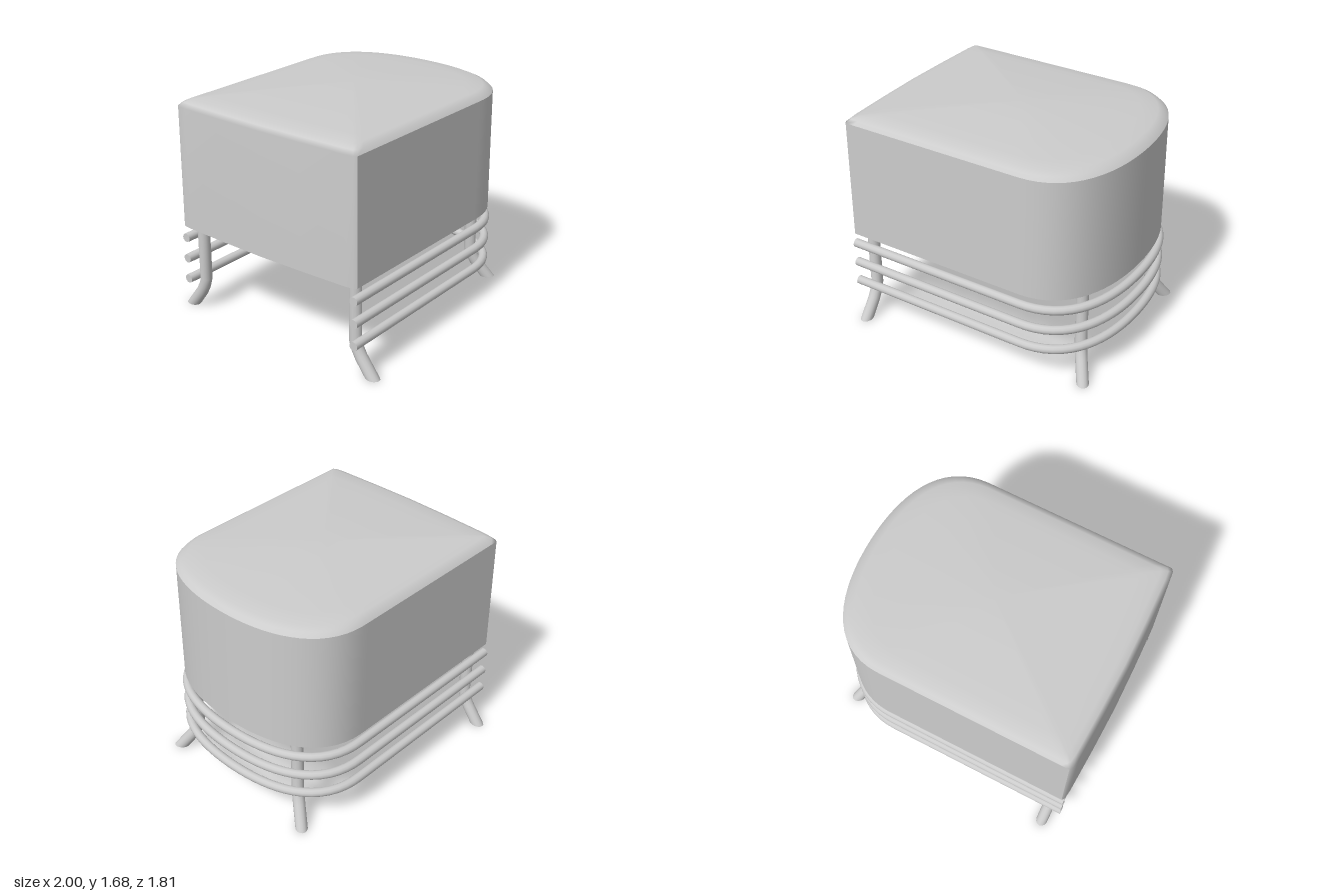
import * as THREE from 'three';
import { mergeGeometries, mergeVertices, toCreasedNormals } from 'three/addons/utils/BufferGeometryUtils.js';

const V = (x, y, z) => new THREE.Vector3(x, y, z);
const material = new THREE.MeshStandardMaterial({ color: 0xcccccc });

// Skin a stack of rings, listed from bottom to top and counter-clockwise from above
function loft(rings, closed = true) {
  const n = rings[0].length, index = [];
  for (let r = 0; r < rings.length - 1; r++) {
    for (let i = 0; i < (closed ? n : n - 1); i++) {
      const a = r * n + i, b = r * n + (i + 1) % n;
      index.push(a, b, b + n, a, b + n, a + n);
    }
  }
  const geometry = new THREE.BufferGeometry().setFromPoints(rings.flat());
  geometry.setIndex(index);
  geometry.computeVertexNormals();
  return geometry;
}

// D-shaped plan: straight sides that sweep round the +x end
function planCurve(xStart, xEnd, z, y = 0) {
  const path = new THREE.CurvePath();
  const bend = [V(0.45, y, z), V(0.82, y, z), V(xEnd, y, 0.45), V(xEnd, y, 0)];
  const mirror = bend.map(p => V(p.x, y, -p.z)).reverse();
  path.add(new THREE.LineCurve3(V(xStart, y, z), bend[0]));
  path.add(new THREE.CubicBezierCurve3(...bend));
  path.add(new THREE.CubicBezierCurve3(...mirror));
  path.add(new THREE.LineCurve3(mirror[3], V(xStart, y, -z)));
  return path;
}

function createSeat(group) {
  const sides = planCurve(-0.955, 0.975, 0.792).getSpacedPoints(80);
  const back = [[-0.955, -0.792], [-0.972, -0.77], [-0.98, -0.7], [-0.993, -0.35], [-1, 0],
    [-0.993, 0.35], [-0.98, 0.7], [-0.972, 0.77], [-0.955, 0.792]].map(([x, z]) => V(x, 0, z));
  const outline = [...sides, ...back.slice(1, -1)];
  const ring = (points, s, y) => points.map(p => V(p.x * (p.x > 0 ? s : 1 - (1 - s)), y, p.z * s));
  const low = 0.69, high = 1.59, topScale = 0.995;

  // Boxing band round three sides
  const band = loft([ring(sides, 1, low), ring(sides, topScale, high)], false);

  // Domed top flowing smoothly down into the back panel
  const profile = [[topScale, high], [0.965, 1.618], [0.92, 1.638], [0.8, 1.65], [0.6, 1.661],
    [0.4, 1.672], [0.2, 1.68], [0, 1.683]];
  const dome = loft(profile.map(([s, y]) => ring(outline, s, y)));
  const panel = loft([ring(back, 1, low), ring(back, topScale, high)], false);
  const cover = mergeGeometries([dome, panel]);
  cover.deleteAttribute('normal');
  const cushion = mergeVertices(cover, 1e-4);
  cushion.computeVertexNormals();

  const base = loft([ring(outline, 0, low), ring(outline, 1, low)]);
  for (const [name, geometry] of [['seatBand', band], ['seatCushion', cushion], ['seatBase', base]]) {
    const mesh = new THREE.Mesh(geometry, material);
    mesh.name = name;
    group.add(mesh);
  }
}

// Leg that kicks outwards along (dx, dz) and is cut flat at the floor
function createLeg(name, x, z, dx, dz) {
  const d = V(dx, 0, dz).normalize(), v = V(0, 1, 0).cross(d);
  const radius = 0.044;
  const ring = (out, y, tilt, stretch) => Array.from({ length: 14 }, (_, i) => {
    const a = i / 14 * Math.PI * 2;
    const u = d.clone().multiplyScalar(Math.cos(tilt)).add(V(0, Math.sin(tilt), 0));
    return V(x, y, z).addScaledVector(d, out)
      .addScaledVector(u, Math.cos(a) * radius * stretch)
      .addScaledVector(v, Math.sin(a) * radius * Math.min(stretch, 1));
  });
  const geometry = loft([
    ring(0.147, 0, 0, 0), ring(0.147, 0, 0, 1.28), ring(0.05, 0.13, 0.6, 1),
    ring(0.018, 0.19, 0.33, 1), ring(0, 0.25, 0, 1), ring(0, 0.7, 0, 1),
  ]);
  const leg = new THREE.Mesh(toCreasedNormals(geometry, 0.8), material);
  leg.name = name;
  return leg;
}

// Round rail following the plan, with flat ends at the back
function createRail(y) {
  const rail = new THREE.Group();
  rail.name = 'rail';
  const radius = 0.033;
  rail.add(new THREE.Mesh(new THREE.TubeGeometry(planCurve(-0.97, 0.967, 0.77, y), 80, radius, 12), material));
  for (const side of [-1, 1]) {
    const end = new THREE.Mesh(new THREE.CircleGeometry(radius, 12), material);
    end.rotation.y = -Math.PI / 2;
    end.position.set(-0.97, y, side * 0.77);
    rail.add(end);
  }
  rail.children.forEach((mesh, i) => { mesh.name = i ? 'railEnd' : 'railTube'; });
  return rail;
}

export function createModel() {
  const group = new THREE.Group();
  group.name = 'stool';
  createSeat(group);
  for (const side of [-1, 1]) {
    group.add(createLeg('straightEndLeg', -0.86, side * 0.7, 0, side));
    group.add(createLeg('curvedEndLeg', 0.8, side * 0.52, 0.6, side * 0.8));
  }
  for (const y of [0.265, 0.43, 0.595]) group.add(createRail(y));
  return group;
}
